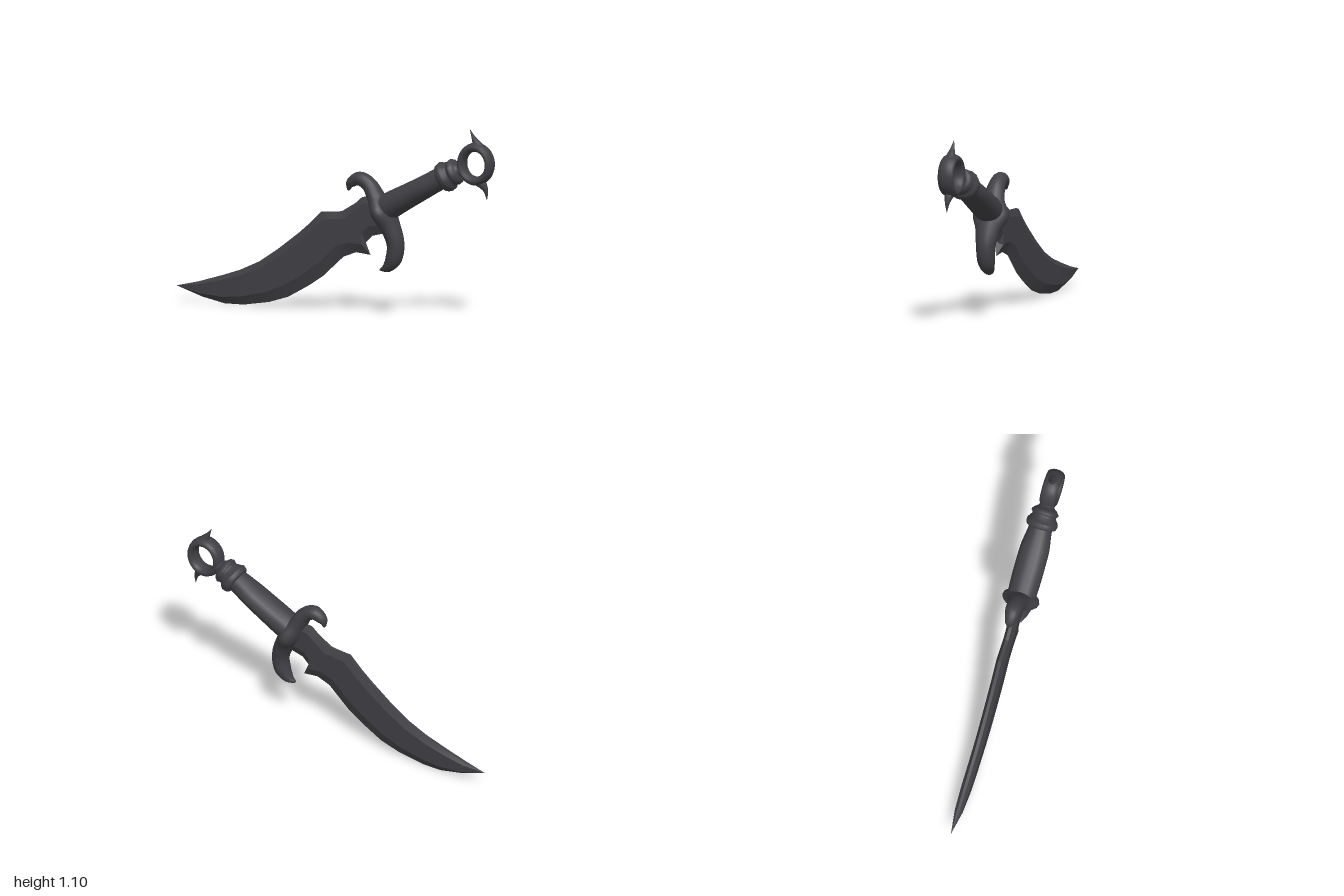
import * as THREE from 'three';
import { toCreasedNormals } from 'three/addons/utils/BufferGeometryUtils.js';

// Skin a list of equal-sized point loops, closing both ends.
function loft(loops, crease) {
  const n = loops[0].length, pos = [], idx = [];
  loops.forEach(l => l.forEach(p => pos.push(...p)));
  for (let i = 0; i < loops.length - 1; i++) {
    for (let j = 0; j < n; j++) {
      const a = i * n + j, b = i * n + (j + 1) % n;
      idx.push(a, b, a + n, b, b + n, a + n);
    }
  }
  const last = (loops.length - 1) * n;
  for (let j = 1; j < n - 1; j++) {
    idx.push(0, j + 1, j, last, last + j, last + j + 1);
  }
  const g = new THREE.BufferGeometry();
  g.setAttribute('position', new THREE.Float32BufferAttribute(pos, 3));
  g.setIndex(idx);
  return toCreasedNormals(g, crease);
}

// Sweep an ellipse along stations of [x, y, half width in plane, half depth in z].
function sweep(stations, steps = 32, sides = 16) {
  const path = new THREE.CatmullRomCurve3(stations.map(s => new THREE.Vector3(s[0], s[1], 0)));
  const size = new THREE.CatmullRomCurve3(stations.map(s => new THREE.Vector3(s[2], s[3], 0)));
  const loops = [];
  for (let i = 0; i <= steps; i++) {
    const p = path.getPoint(i / steps), t = path.getTangent(i / steps), s = size.getPoint(i / steps);
    const w = Math.max(s.x, 0.001), d = Math.max(s.y, 0.001), loop = [];
    for (let j = 0; j < sides; j++) {
      const a = j / sides * Math.PI * 2, c = Math.cos(a) * w;
      loop.push([p.x - t.y * c, p.y + t.x * c, Math.sin(a) * d]);
    }
    loops.push(loop);
  }
  return loft(loops, 0.8);
}

// Blade stations: spine x, y, then cutting edge x, y, from guard to tip.
const BLADE = [
  [0.26, 0.68, 0.31, 0.47], [0.17, 0.67, 0.23, 0.45], [0.13, 0.635, 0.19, 0.41],
  [0.04, 0.58, 0.22, 0.34], [0, 0.575, 0.13, 0.35], [-0.09, 0.57, 0.05, 0.32],
  [-0.16, 0.5, -0.08, 0.2], [-0.23, 0.44, -0.17, 0.14], [-0.36, 0.34, -0.3, 0.067],
  [-0.48, 0.26, -0.42, 0.03], [-0.6, 0.205, -0.58, 0.005], [-0.72, 0.165, -0.7, 0.005],
  [-0.87, 0.12, -0.84, 0.035], [-1, 0.091, -1, 0.089],
];

function bladeGeometry() {
  return loft(BLADE.map(([sx, sy, ex, ey], i) => {
    const k = i === BLADE.length - 1 ? 0.03 : i === BLADE.length - 2 ? 0.8 : 1;
    const at = (f, z) => [sx + (ex - sx) * f, sy + (ey - sy) * f, z * k];
    return [at(1, 0), at(0.75, 0.026), at(0.16, 0.027), at(0, 0.009),
      at(0, -0.009), at(0.16, -0.027), at(0.75, -0.026)];
  }), 0.3);
}

export function createModel() {
  const model = new THREE.Group();
  const steel = new THREE.MeshStandardMaterial({ color: 0x403f44 });
  steel.name = 'dark steel';
  const add = (name, geometry) => {
    const mesh = new THREE.Mesh(geometry, steel);
    mesh.name = name;
    model.add(mesh);
    return mesh;
  };

  add('blade', bladeGeometry());

  // S-shaped guard, thick where it wraps the grip
  add('guard', sweep([
    [0.08, 0.705, 0.006, 0.01], [0.095, 0.745, 0.028, 0.03], [0.15, 0.775, 0.04, 0.045],
    [0.21, 0.745, 0.043, 0.05], [0.255, 0.675, 0.05, 0.065], [0.3, 0.59, 0.06, 0.11],
    [0.345, 0.51, 0.055, 0.075], [0.378, 0.41, 0.05, 0.055], [0.365, 0.325, 0.047, 0.05],
    [0.325, 0.275, 0.03, 0.032], [0.28, 0.258, 0.005, 0.008],
  ], 50));

  add('grip', sweep([
    [0.27, 0.59, 0.075, 0.075], [0.35, 0.635, 0.077, 0.085], [0.45, 0.69, 0.071, 0.087],
    [0.56, 0.75, 0.066, 0.085], [0.64, 0.795, 0.064, 0.072], [0.7, 0.825, 0.062, 0.065],
  ]));

  // Collar bands and the waist leading to the pommel
  add('collar', sweep([
    [0.665, 0.805, 0.06, 0.06], [0.675, 0.81, 0.083, 0.085], [0.7, 0.823, 0.09, 0.092],
    [0.72, 0.835, 0.076, 0.08], [0.735, 0.843, 0.07, 0.07], [0.75, 0.85, 0.077, 0.08],
    [0.768, 0.858, 0.07, 0.068], [0.785, 0.866, 0.04, 0.045], [0.81, 0.875, 0.035, 0.042],
  ], 40));

  // Ring pommel, deeper than its wall is thick
  const ring = add('pommelRing', new THREE.TorusGeometry(0.09, 0.024, 14, 40));
  ring.scale.set(0.97, 1.08, 2);
  ring.position.set(0.885, 0.903, 0);

  // Curved spikes on the ring
  add('upperSpike', sweep([
    [0.9, 1.0, 0.035, 0.035], [0.885, 1.03, 0.022, 0.022],
    [0.868, 1.058, 0.011, 0.012], [0.848, 1.1, 0.001, 0.001],
  ], 12, 10));
  add('lowerSpike', sweep([
    [0.9, 0.81, 0.035, 0.035], [0.928, 0.785, 0.026, 0.024],
    [0.948, 0.75, 0.013, 0.013], [0.954, 0.7, 0.001, 0.001],
  ], 12, 10));

  return model;
}
